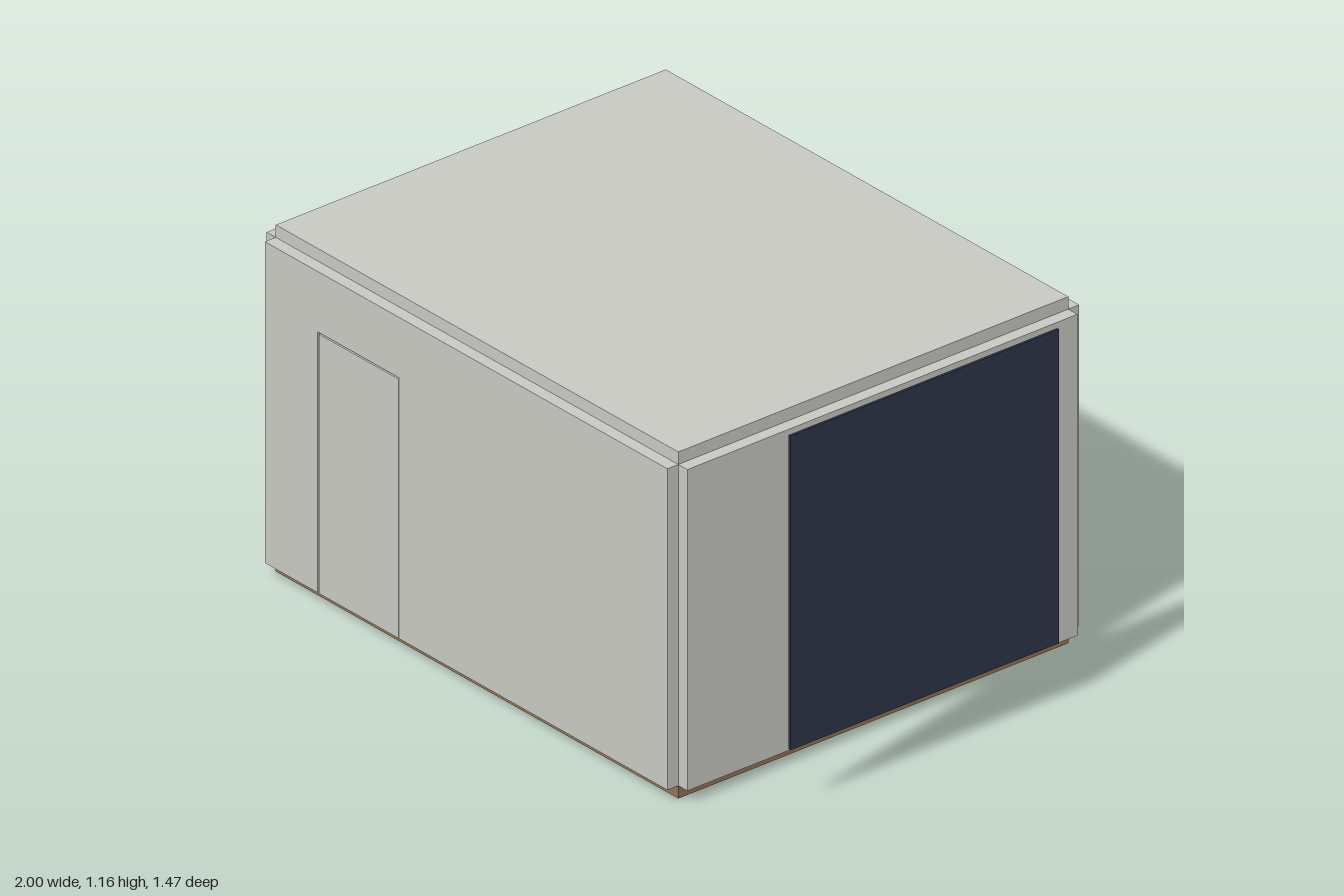
import * as THREE from 'three';

const paint = (name, color) => {
  const m = new THREE.MeshStandardMaterial({ color });
  m.name = name;
  return m;
};

export function createModel() {
  const room = new THREE.Group();
  room.name = 'room';
  const plaster = paint('plaster', 0xc8c8c2);
  const wood = paint('floorWood', 0x8f7355);
  const night = paint('nightBlue', 0x2e354a);
  const bark = paint('bark', 0x4a3628);

  // Inner room limits and shell thickness
  const X0 = -0.96, X1 = 0.755, Z = 0.698, Y0 = 0.04, Y1 = 1.04, T = 0.039;

  // Box given by its opposite corners
  const box = (name, mat, [ax, ay, az], [bx, by, bz]) => {
    const mesh = new THREE.Mesh(new THREE.BoxGeometry(bx - ax, by - ay, bz - az), mat);
    mesh.position.set((ax + bx) / 2, (ay + by) / 2, (az + bz) / 2);
    mesh.name = name;
    room.add(mesh);
    return mesh;
  };

  // Upright wall slab with a rectangular opening, extruded along +z
  const rect = (Type, a, b, c, d) => new Type([
    new THREE.Vector2(a, b), new THREE.Vector2(c, b), new THREE.Vector2(c, d), new THREE.Vector2(a, d),
  ]);
  const piercedSlab = (name, outer, hole, depth) => {
    const shape = rect(THREE.Shape, ...outer);
    shape.holes.push(rect(THREE.Path, ...hole));
    const mesh = new THREE.Mesh(new THREE.ExtrudeGeometry(shape, { depth, bevelEnabled: false }), plaster);
    mesh.name = name;
    room.add(mesh);
    return mesh;
  };

  // Floor, ceiling and the closed walls
  box('floor', wood, [X0, 0, -Z], [X1, Y0, Z]);
  box('ceiling', plaster, [X0, Y1, -Z], [X1, Y1 + T, Z]);
  box('backWall', plaster, [X0, Y0, -Z - T], [X1, Y1, -Z]);
  box('rightWall', plaster, [X0 - T, Y0, -Z], [X0, Y1, Z]);

  // Front wall with a flush door set in a narrow gap
  const door = [-0.736, Y0 + 0.001, -0.388, 0.852];
  piercedSlab('frontWall', [X0, Y0, X1, Y1], door, T).position.z = Z;
  box('door', plaster, [door[0] + 0.006, Y0, Z], [door[2] - 0.002, door[3] - 0.005, Z + T]);

  // Window wall: drawn in (-z, y), then turned to face +x
  const win = [-0.27, 0.38, 0.225, 0.95];
  const wall = piercedSlab('windowWall', [-Z, Y0, Z, Y1], win, T);
  wall.rotation.y = Math.PI / 2;
  wall.position.x = X1;

  // Window frame inside the reveal
  const [a, b, c, d] = win, F = 0.02;
  const frame = piercedSlab('windowFrame', win, [a + F, b + F, c - F, d - F], 0.02);
  frame.rotation.y = Math.PI / 2;
  frame.position.x = X1 + 0.002;

  // Dark sky board standing outside the window
  box('skyBoard', night, [0.99, 0.182, -0.46], [0.998, 1.16, 0.5]);

  // Twig tips poking through the window wall
  [[0.55, -0.474, 0.2], [0.485, -0.488, -0.3], [0.47, -0.492, 0.25]].forEach(([y, z, tilt]) => {
    const twig = new THREE.Mesh(new THREE.ConeGeometry(0.006, 0.026, 4), bark);
    twig.position.set(0.795, y, z);
    twig.rotation.set(tilt, 0, Math.PI + tilt);
    twig.name = 'twigTip';
    room.add(twig);
  });

  return room;
}
